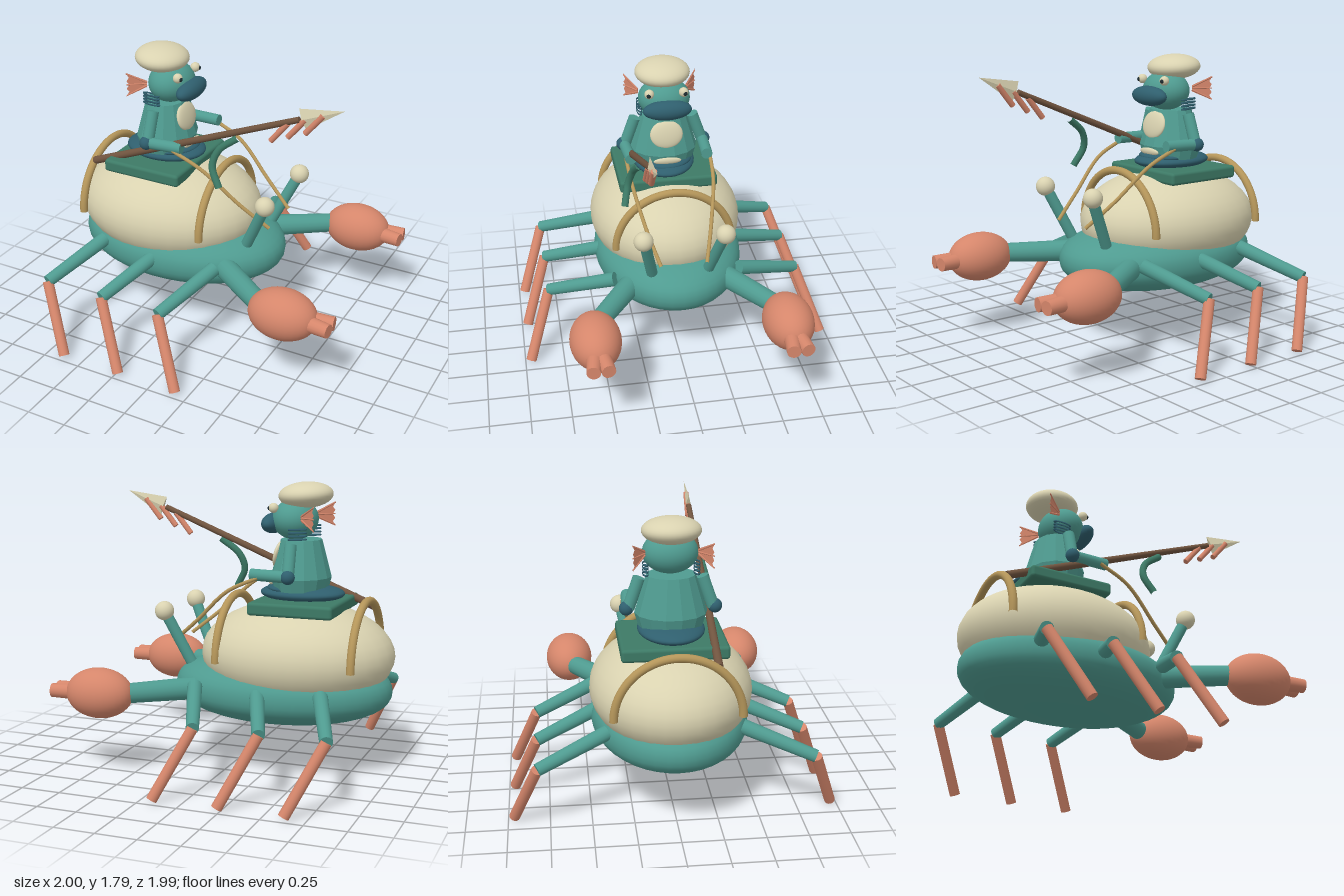
import * as THREE from 'three';
import { RoundedBoxGeometry } from 'three/addons/geometries/RoundedBoxGeometry.js';

const V = (x, y, z) => new THREE.Vector3(x, y, z);

export function createModel() {
  const root = new THREE.Group();
  root.name = 'crabRider';
  const mat = (name, color, extra = {}) => {
    const m = new THREE.MeshStandardMaterial({ color, ...extra });
    m.name = name;
    return m;
  };
  const teal = mat('teal', 0x4f9b90);
  const deep = mat('deepBlue', 0x2f5f6e);
  const coral = mat('coral', 0xd5866b, { side: THREE.DoubleSide });
  const cream = mat('cream', 0xd9d2b0);
  const tan = mat('tan', 0xb5965a);
  const brown = mat('brown', 0x70543f);
  const green = mat('green', 0x3d7a66);
  const dark = mat('dark', 0x1d2b30);

  const add = (name, geo, m, p = V(0, 0, 0)) => {
    const mesh = new THREE.Mesh(geo, m);
    mesh.name = name;
    mesh.position.copy(p);
    root.add(mesh);
    return mesh;
  };
  const ball = (name, m, p, rx, ry = rx, rz = rx) =>
    add(name, new THREE.SphereGeometry(1, 32, 20).scale(rx, ry, rz), m, p);
  // cylinder running from a to b
  const rod = (name, m, a, b, r0, r1 = r0, sides = 16) => {
    const d = b.clone().sub(a);
    const mesh = add(name, new THREE.CylinderGeometry(r1, r0, d.length(), sides), m,
      a.clone().add(b).multiplyScalar(0.5));
    mesh.quaternion.setFromUnitVectors(V(0, 1, 0), d.normalize());
    return mesh;
  };
  const tube = (name, m, pts, r) =>
    add(name, new THREE.TubeGeometry(new THREE.CatmullRomCurve3(pts), 32, r, 10), m);

  // crab body: a full-edged oval, with the shell set into its top
  const profile = [];
  for (let i = 0; i <= 24; i++) {
    const a = -Math.PI / 2 + (i / 24) * Math.PI;
    const c = Math.max(0, Math.cos(a)), s = Math.sin(a), e = 2 / 2.3;
    profile.push(new THREE.Vector2(c ** e, Math.sign(s) * Math.abs(s) ** e));
  }
  profile[0].x = profile[24].x = 0;
  add('crabBody', new THREE.LatheGeometry(profile, 40).scale(0.695, 0.21, 0.48), teal, V(-0.295, 0.515, 0));
  ball('crabShell', cream, V(-0.39, 0.73, 0), 0.61, 0.33, 0.49);

  // straps over the shell
  for (const x of [-0.83, 0.012])
    add('shellStrap', new THREE.TorusGeometry(0.372, 0.025, 12, 40, Math.PI).rotateY(Math.PI / 2), tan, V(x, 0.705, 0));

  // saddle and cushion
  add('saddle', new RoundedBoxGeometry(0.53, 0.08, 0.63, 2, 0.02), green, V(-0.43, 1.04, 0));
  ball('seatCushion', deep, V(-0.42, 1.11, 0), 0.265, 0.056, 0.2);
  ball('waist', deep, V(-0.38, 1.14, 0), 0.18, 0.04, 0.18);

  // rider torso with belly patches
  const torso = [[0, 1.13], [0.165, 1.13], [0.185, 1.21], [0.125, 1.44], [0, 1.44]]
    .map(([r, y]) => new THREE.Vector2(r, y));
  const torsoGeo = new THREE.LatheGeometry(torso, 14).toNonIndexed();
  torsoGeo.scale(1, 1, 1.17).computeVertexNormals();
  add('torso', torsoGeo, teal, V(-0.41, 0, 0));
  ball('bellyPatch', cream, V(-0.272, 1.345, 0), 0.026, 0.09, 0.105).rotation.z = 0.25;
  ball('lowerBellyPatch', cream, V(-0.235, 1.175, 0), 0.016, 0.025, 0.09).rotation.z = -0.2;

  // head, lips and cap
  ball('head', teal, V(-0.37, 1.56, 0), 0.14, 0.125, 0.165);
  ball('lips', deep, V(-0.232, 1.532, 0), 0.065, 0.063, 0.155);
  ball('cap', cream, V(-0.435, 1.708, 0), 0.167, 0.08, 0.175).rotation.z = -0.06;

  // ear fin outline with a notched outer edge
  const fin = new THREE.Shape([[0, -0.02], [0.13, -0.075], [0.11, -0.045], [0.125, -0.025], [0.11, 0],
    [0.125, 0.025], [0.11, 0.045], [0.13, 0.08], [0, 0.02]].map(([x, y]) => new THREE.Vector2(x, y)));
  const finGeo = new THREE.ShapeGeometry(fin);

  for (const s of [1, -1]) {
    // face
    ball('eye', cream, V(-0.265, 1.632, s * 0.108), 0.03);
    ball('pupil', dark, V(-0.243, 1.63, s * 0.114), 0.014);
    const ear = add('earFin', finGeo, coral, V(-0.455, 1.578, s * 0.155));
    ear.rotation.y = s > 0 ? Math.PI + 0.65 : Math.PI - 0.65;
    for (const t of [-0.5, 0, 0.5]) {
      rod('finRay', coral, V(-0.455, 1.578 + t * 0.02, s * 0.155),
        V(-0.555, 1.58 + t * 0.14, s * 0.232), 0.006, 0.004, 6);
    }
    for (let i = 0; i < 4; i++)
      add('gillRing', new THREE.TorusGeometry(0.055, 0.006, 6, 24).rotateX(Math.PI / 2).scale(1, 1, 0.3),
        deep, V(-0.43, 1.45 + i * 0.02, s * 0.15)).rotation.z = -0.06;

    // arms and reins
    rod('upperArm', teal, V(-0.4, 1.42, s * 0.185), V(-0.405, 1.235, s * 0.25), 0.037);
    ball('elbow', deep, V(-0.408, 1.235, s * 0.262), 0.043);
    rod('forearm', teal, V(-0.408, 1.235, s * 0.255), V(-0.17, 1.24, s * 0.242), 0.036);
    tube('rein', tan, [V(-0.22, 1.225, s * 0.268), V(-0.02, 1.13, s * 0.255),
      V(0.2, 0.93, s * 0.2), V(0.38, 0.78, s * 0.142)], 0.012);

    // crab eye stalks
    rod('eyeStalk', teal, V(0.25, 0.66, s * 0.18), V(0.4, 0.98, s * 0.245), 0.035);
    ball('crabEye', cream, V(0.4, 0.985, s * 0.25), 0.06);

    // claws
    rod('clawArm', teal, V(0.17, 0.525, s * 0.31), V(0.55, 0.515, s * 0.575), 0.07, 0.06);
    ball('claw', coral, V(0.688, 0.512, s * 0.585), 0.215, 0.155, 0.155);
    for (const t of [-1, 1])
      rod('pincer', coral, V(0.78, 0.512, s * 0.585 + t * 0.012), V(0.995, 0.512, s * 0.585 + t * 0.044), 0.052, 0.042);

    // walking legs
    for (const x of [-0.82, -0.425, -0.025]) {
      const knee = V(x, 0.42, s * 0.815);
      rod('upperLeg', teal, V(x + 0.16, 0.56, s * 0.4), knee, 0.046, 0.038);
      rod('lowerLeg', coral, knee, V(x + 0.195, 0.017, s * 0.963), 0.033);
    }
  }

  // spear with flat head, fringe and hanging weed
  rod('spearShaft', brown, V(-0.82, 1.01, 0.228), V(0.6, 1.587, 0.235), 0.025, 0.018);
  const head = add('spearHead', new THREE.ConeGeometry(0.065, 0.27, 4).toNonIndexed().scale(1, 1, 0.25),
    cream, V(0.745, 1.642, 0.235));
  head.geometry.computeVertexNormals();
  head.rotation.z = -Math.PI / 2 + 0.37;
  for (let i = 0; i < 3; i++)
    rod('spearFringe', coral, V(0.425 + i * 0.107, 1.42 + i * 0.045, 0.235),
      V(0.53 + i * 0.107, 1.55 + i * 0.045, 0.235), 0.018);
  tube('hangingWeed', green, [V(0.215, 1.395, 0.245), V(0.1, 1.3, 0.268),
    V(0.07, 1.2, 0.295), V(0.13, 1.08, 0.325)], 0.022);

  return root;
}
